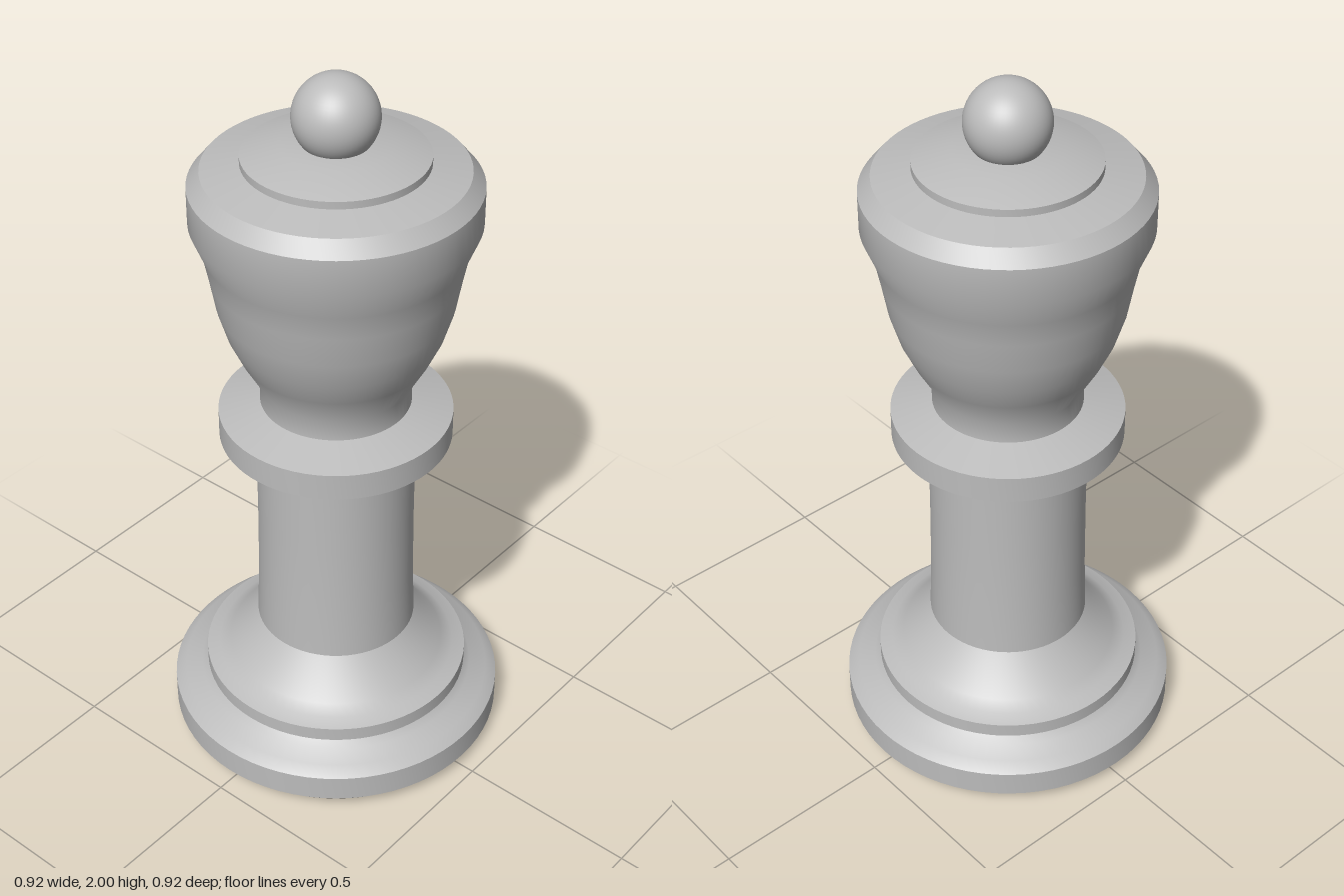
import * as THREE from 'three';
import { toCreasedNormals } from 'three/addons/utils/BufferGeometryUtils.js';

const SEGMENTS = 72;

export function createModel() {
  const group = new THREE.Group();
  const stone = new THREE.MeshStandardMaterial({ color: 0xbcbcbc });
  stone.name = 'light grey';

  const add = (name, geometry) => {
    const mesh = new THREE.Mesh(geometry, stone);
    mesh.name = name;
    group.add(mesh);
  };

  // Turned part from [radius, height] points, bottom to top
  const turned = (name, points) => {
    const profile = points.map(([r, y]) => new THREE.Vector2(r, y));
    add(name, toCreasedNormals(new THREE.LatheGeometry(profile, SEGMENTS), 0.6));
  };

  // Foot disc with chamfered underside and rounded shoulder
  turned('foot', [
    [0, 0], [0.425, 0], [0.462, 0.04], [0.462, 0.115],
    [0.432, 0.138], [0.385, 0.152], [0.368, 0.17],
  ]);

  // Step and sloping skirt up to the shaft
  turned('baseStep', [
    [0.368, 0.17], [0.368, 0.21], [0.333, 0.221], [0.3, 0.24], [0.22, 0.345],
  ]);

  // Slightly flared column
  turned('shaft', [[0.22, 0.345], [0.215, 0.5], [0.213, 0.7], [0.213, 0.94]]);

  // Ring with bevelled top and bottom
  turned('collar', [[0.213, 0.94], [0.31, 0.965], [0.31, 1.04], [0.2, 1.07]]);

  // Flaring cup with a straight rim
  turned('head', [
    [0.2, 1.07], [0.2, 1.13], [0.25, 1.22], [0.282, 1.29], [0.306, 1.37],
    [0.322, 1.46], [0.336, 1.53], [0.368, 1.61], [0.368, 1.71], [0.335, 1.75],
  ]);

  // Stepped lid
  turned('cap', [
    [0.335, 1.75], [0.236, 1.77], [0.236, 1.79], [0.14, 1.818], [0, 1.824],
  ]);

  // Ball on top
  const ball = new THREE.SphereGeometry(0.11, 48, 32);
  ball.translate(0, 1.89, 0);
  add('finialBall', ball);

  return group;
}
